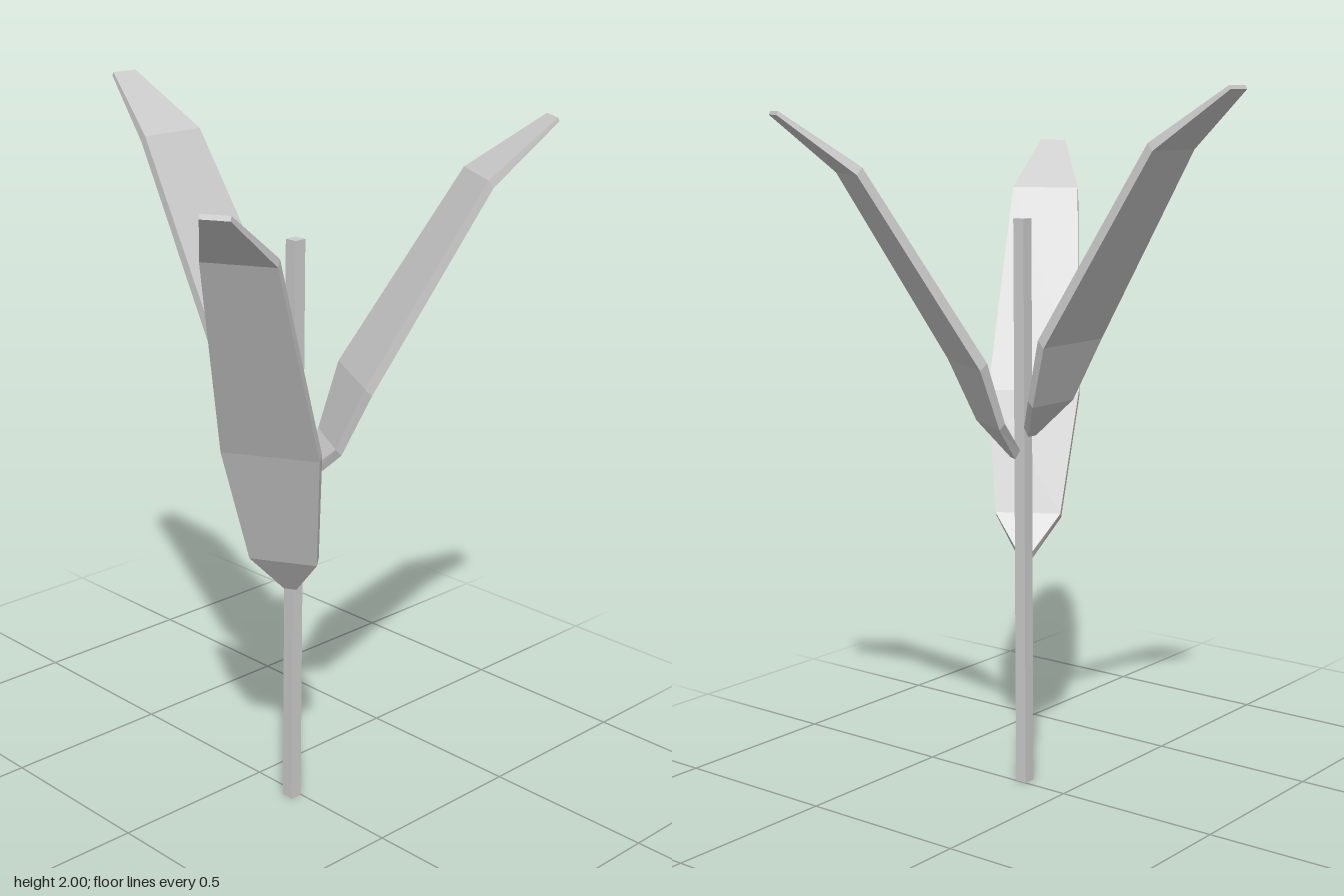
import * as THREE from 'three';

const STEM_X = 0.157, STEM_Z = 0.018;

// Sections from base to tip: [upper radius, upper y, lower radius, lower y, half width]
const UPRIGHT = [
  [0.017, 1.055, 0.032, 1.03, 0.018],
  [0.091, 1.148, 0.107, 1.13, 0.093],
  [0.157, 1.325, 0.177, 1.305, 0.133],
  [0.487, 1.855, 0.502, 1.835, 0.098],
  [0.692, 2.0, 0.697, 1.99, 0.039],
];
const LOW = [
  [0.017, 0.68, 0.03, 0.66, 0.018],
  [0.083, 0.785, 0.103, 0.77, 0.095],
  [0.205, 1.125, 0.228, 1.115, 0.134],
  [0.472, 1.703, 0.487, 1.685, 0.098],
  [0.654, 1.84, 0.659, 1.828, 0.038],
];

// Thin faceted blade: a four-cornered ring per section, joined and capped
function leafGeometry(sections) {
  const rings = sections.map(([ru, yu, rl, yl, w]) => [
    [ru, yu, w], [ru, yu, -w], [rl, yl, -w], [rl, yl, w],
  ]);
  const pos = [];
  const quad = (a, b, c, d) => pos.push(...a, ...b, ...c, ...a, ...c, ...d);
  for (let i = 0; i < rings.length - 1; i++) {
    for (let j = 0; j < 4; j++) {
      const k = (j + 1) % 4;
      quad(rings[i][j], rings[i + 1][j], rings[i + 1][k], rings[i][k]);
    }
  }
  quad(...rings[0]);
  quad(...[...rings[rings.length - 1]].reverse());
  const g = new THREE.BufferGeometry();
  g.setAttribute('position', new THREE.Float32BufferAttribute(pos, 3));
  g.computeVertexNormals();
  return g;
}

export function createModel() {
  const group = new THREE.Group();
  group.name = 'plant';
  const material = new THREE.MeshStandardMaterial({ color: 0xcccccc, flatShading: true });

  // Square stem
  const stem = new THREE.Mesh(new THREE.BoxGeometry(0.036, 1.64, 0.036), material);
  stem.name = 'stem';
  stem.position.set(STEM_X, 0.82, STEM_Z);
  group.add(stem);

  // Three leaves, a third of a turn apart and at staggered heights
  const leaves = [
    ['rightLeaf', UPRIGHT, 180, 0],
    ['backLeaf', UPRIGHT, -60, -0.065],
    ['frontLeaf', LOW, 60, 0],
  ];
  for (const [name, sections, angle, drop] of leaves) {
    const leaf = new THREE.Mesh(leafGeometry(sections), material);
    leaf.name = name;
    leaf.position.set(STEM_X, drop, STEM_Z);
    leaf.rotation.y = -THREE.MathUtils.degToRad(angle);
    group.add(leaf);
  }
  return group;
}
